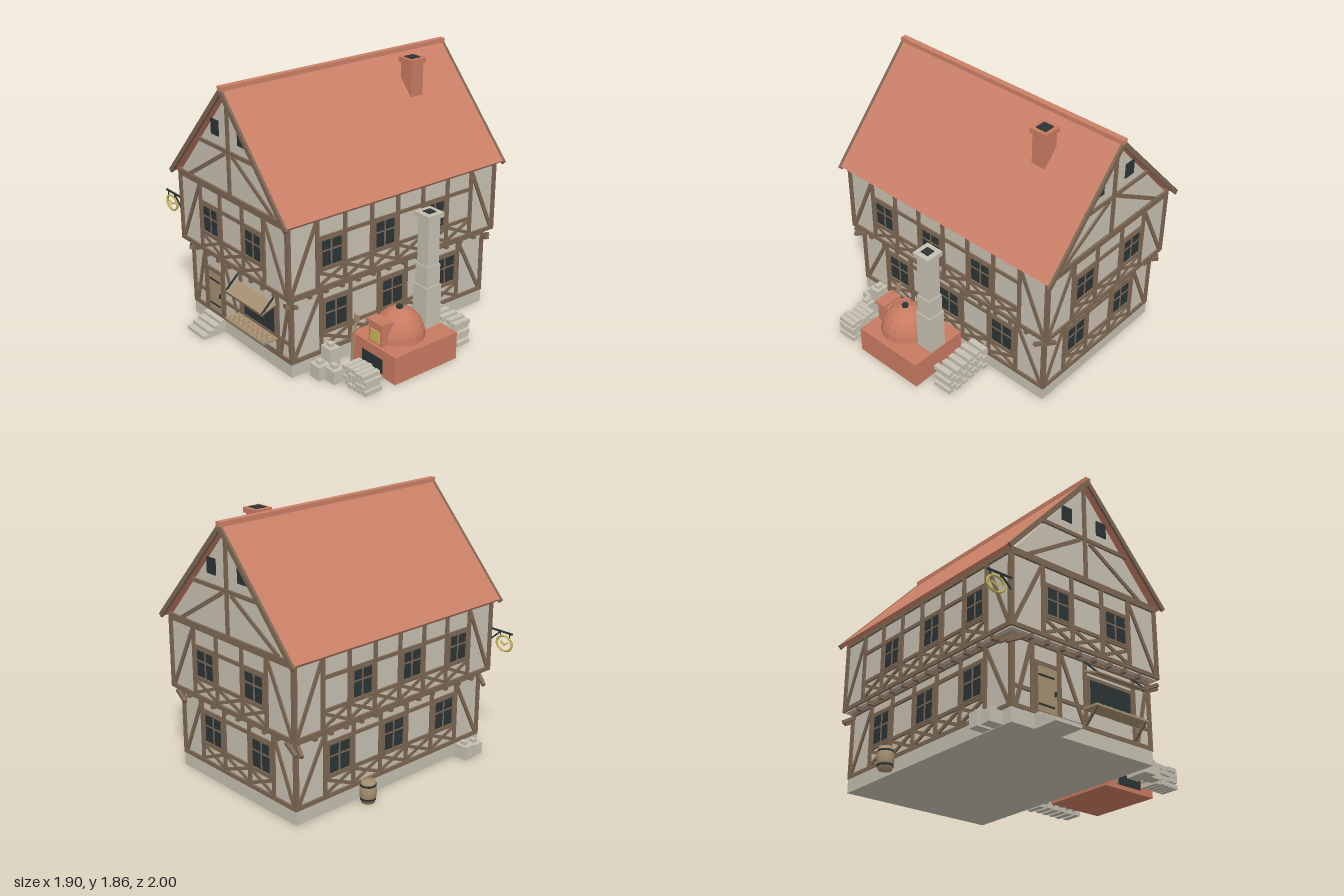
import * as THREE from 'three';

const mat = (name, color) => Object.assign(new THREE.MeshStandardMaterial({ color }), { name });

export function createModel() {
  const plaster = mat('plaster', 0xc8c0b2), stone = mat('stone', 0xc5c0b1), timber = mat('timber', 0x7c6753);
  const tile = mat('roofTile', 0xcb8067), brick = mat('brick', 0xc87a61), dark = mat('darkIron', 0x2b3435);
  const gold = mat('gold', 0xc9b85a), wood = mat('paleWood', 0xa58f70);
  const root = new THREE.Group();
  root.name = 'bakeryHouse';
  const CX = -0.127, CZ = -0.044;

  const add = (parent, name, geo, m, x = 0, y = 0, z = 0) => {
    const mesh = new THREE.Mesh(geo, m);
    mesh.name = name;
    mesh.position.set(x, y, z);
    parent.add(mesh);
    return mesh;
  };
  // box given by its extents on each axis
  const box = (p, name, m, x0, x1, y0, y1, z0, z1) =>
    add(p, name, new THREE.BoxGeometry(x1 - x0, y1 - y0, z1 - z0), m, (x0 + x1) / 2, (y0 + y1) / 2, (z0 + z1) / 2);
  const group = (name, parent = root) => {
    const g = new THREE.Group();
    g.name = name;
    parent.add(g);
    return g;
  };
  // straight bar lying in a wall plane (x, y), centred on z
  const beam = (p, x0, y0, x1, y1, w = 0.026, d = 0.03, z = 0, m = timber, name = 'beam') => {
    const b = add(p, name, new THREE.BoxGeometry(Math.hypot(x1 - x0, y1 - y0), w, d), m, (x0 + x1) / 2, (y0 + y1) / 2, z);
    b.rotation.z = Math.atan2(y1 - y0, x1 - x0);
    return b;
  };
  // straight bar between any two points
  const bar = (p, name, a, b, t, m) => {
    const A = new THREE.Vector3(...a), B = new THREE.Vector3(...b);
    const s = add(p, name, new THREE.BoxGeometry(t, t, A.distanceTo(B)), m);
    s.position.copy(A).add(B).multiplyScalar(0.5);
    s.lookAt(B);
    return s;
  };

  const house = group('house');
  house.position.set(CX, 0, CZ);

  // --- solid masses
  box(house, 'plinth', stone, -0.588, 0.588, 0, 0.1, -0.862, 0.862);
  box(house, 'groundFloor', plaster, -0.577, 0.577, 0.1, 0.59, -0.852, 0.852);
  box(house, 'upperFloor', plaster, -0.622, 0.622, 0.582, 1.11, -0.9, 0.9);
  const extrude = (name, pts, depth, z, m) => {
    const s = new THREE.Shape(pts.map(q => new THREE.Vector2(...q)));
    return add(house, name, new THREE.ExtrudeGeometry(s, { depth, bevelEnabled: false }), m, 0, 0, z);
  };
  extrude('gable', [[-0.62, 1.1], [0.62, 1.1], [0, 1.8]], 1.8, -0.9, plaster);
  const chevron = (w, top, t) => [[0, top], [-w, top - w * 1.096], [-w + t * 0.7, top - w * 1.096 - t * 0.65],
    [0, top - t * 1.5], [w - t * 0.7, top - w * 1.096 - t * 0.65], [w, top - w * 1.096]];
  extrude('roof', chevron(0.672, 1.852, 0.028), 1.88, -0.94, tile);
  for (const z of [-0.957, 0.939]) extrude('bargeBoard', chevron(0.684, 1.857, 0.034), 0.018, z, timber);
  box(house, 'ridgeCap', tile, -0.021, 0.021, 1.832, 1.864, -0.957, 0.957);

  // --- timber framing
  const windowAt = (p, x, y, w, h) => {
    const g = group('window', p);
    g.position.set(x, y, 0);
    box(g, 'glass', dark, -w / 2, w / 2, -h / 2, h / 2, 0, 0.006);
    for (const s of [-1, 1]) {
      beam(g, s * w / 2, -h / 2, s * w / 2, h / 2, 0.014, 0.034);
      beam(g, -w / 2, s * h / 2, w / 2, s * h / 2, 0.014, 0.034);
    }
    beam(g, 0, -h / 2, 0, h / 2, 0.011, 0.02);
    beam(g, -w / 2, h * 0.08, w / 2, h * 0.08, 0.011, 0.019);
  };
  const wall = (name, angle, dist) => {
    const g = group(name, house);
    g.rotation.y = angle;
    g.position.set(Math.sin(angle) * dist, 0, Math.cos(angle) * dist);
    return g;
  };
  const outline = (g, half, y0, y1) => {
    for (const s of [-1, 1]) beam(g, s * (half - 0.013), y0, s * (half - 0.013), y1, 0.03, 0.026);
    beam(g, -half, y0 + 0.014, half, y0 + 0.014, 0.028, 0.03);
    beam(g, -half, y1 - 0.015, half, y1 - 0.015, 0.03, 0.03);
  };
  // storey with corner braces, a window band and crossed braces below
  const storey = (g, half, posts, wins, y0, y1, sill, lintel, winW) => {
    outline(g, half, y0, y1);
    const a = posts[0], b = posts[posts.length - 1];
    for (const x of posts) beam(g, x, y0, x, y1, 0.026, 0.028);
    for (const y of [sill, lintel]) beam(g, a, y, b, y, 0.024, 0.026);
    for (const s of [-1, 1]) beam(g, s * (half - 0.03), y0 + 0.03, s * (b + 0.008), y1 - 0.04, 0.026, 0.022);
    posts.slice(1).forEach((x1, i) => {
      const x0 = posts[i], lo = y0 + 0.03, hi = sill - 0.012;
      beam(g, x0, lo, x1, hi, 0.022, 0.022);
      beam(g, x0, hi, x1, lo, 0.022, 0.02);
      if (wins.includes(i)) windowAt(g, (x0 + x1) / 2, (sill + lintel) / 2, winW, lintel - sill - 0.022);
    });
  };
  const joists = (g, half) => {
    const n = Math.round(half * 2 / 0.13);
    for (let i = 1; i < n; i++) {
      const x = -half + i * 2 * half / n;
      box(g, 'joistEnd', timber, x - 0.013, x + 0.013, 0.556, 0.584, 0, 0.055);
    }
  };
  const spaced = (half, n) => Array.from({ length: n + 1 }, (_, i) => -half + 2 * half * i / n);
  const endPosts = [-0.37, -0.13, 0.13, 0.37];
  const upper = [0.59, 1.115, 0.735, 0.957], lower = [0.097, 0.58, 0.245, 0.482];

  for (const [name, angle, front] of [['frontWall', 0, true], ['backWall', Math.PI, false]]) {
    const up = wall(name + 'Upper', angle, 0.9);
    storey(up, 0.635, endPosts, [0, 2], ...upper, 0.195);
    // gable framing
    beam(up, -0.63, 1.1, 0.63, 1.1, 0.045, 0.034);
    beam(up, 0, 1.1, 0, 1.8, 0.026, 0.03);
    beam(up, -0.375, 1.413, 0.375, 1.413, 0.026, 0.027);
    for (const s of [-1, 1]) {
      beam(up, s * 0.49, 1.12, s * 0.04, 1.395, 0.026, 0.022);
      box(up, 'atticWindow', dark, s * 0.153 - 0.043, s * 0.153 + 0.043, 1.49, 1.597, 0, 0.008);
    }
    const low = wall(name + 'Lower', angle, 0.852);
    joists(low, 0.59);
    if (!front) { storey(low, 0.59, endPosts, [0, 2], ...lower, 0.195); continue; }
    // shop front: posts, rails, braces
    outline(low, 0.59, 0.097, 0.58);
    for (const x of [-0.422, -0.205, 0.012, 0.437]) beam(low, x, 0.1, x, 0.575, 0.026, 0.028);
    for (const [a, b] of [[-0.58, -0.42], [-0.2, 0.437], [0.437, 0.58]]) beam(low, a, 0.24, b, 0.24, 0.024, 0.026);
    for (const [a, b] of [[-0.55, -0.43], [0, -0.19], [0.46, 0.565]]) beam(low, a, 0.12, b, 0.55, 0.026, 0.022);
    beam(low, -0.422, 0.435, -0.205, 0.435, 0.026, 0.027);
    // door with strap hinges and handle
    box(low, 'door', wood, -0.385, -0.218, 0.1, 0.422, 0, 0.01);
    for (const x of [-0.392, -0.218]) beam(low, x, 0.1, x, 0.425, 0.018, 0.032);
    for (const y of [0.17, 0.36]) box(low, 'hinge', dark, -0.375, -0.25, y - 0.006, y + 0.006, 0.01, 0.014);
    box(low, 'handle', dark, -0.25, -0.238, 0.245, 0.275, 0.01, 0.02);
    box(low, 'shopOpening', dark, 0.045, 0.412, 0.245, 0.445, 0, 0.008);
    beam(low, 0.012, 0.452, 0.437, 0.452, 0.022, 0.03);
    for (const x of [0.04, 0.415]) beam(low, x, 0.24, x, 0.45, 0.014, 0.03);
  }
  for (const [name, s] of [['leftWall', 1], ['rightWall', -1]]) {
    const up = wall(name + 'Upper', s * Math.PI / 2, 0.622);
    storey(up, 0.913, spaced(0.674, 6), s > 0 ? [0, 2, 4] : [1, 3, 5], ...upper, 0.178);
    const low = wall(name + 'Lower', s * Math.PI / 2, 0.577);
    storey(low, 0.865, spaced(0.614, 5), [0, 2, 4], ...lower, 0.195);
    joists(low, 0.865);
  }
  // jetty brackets at the corners
  for (const sx of [-1, 1]) for (const sz of [-1, 1]) {
    bar(house, 'bracket', [sx * 0.585, 0.47, sz * 0.85], [sx * 0.625, 0.585, sz * 0.85], 0.024, timber);
    bar(house, 'bracket', [sx * 0.57, 0.47, sz * 0.86], [sx * 0.57, 0.585, sz * 0.905], 0.024, timber);
  }

  // --- entrance steps
  for (let i = 0; i < 4; i++)
    box(root, 'step', stone, -0.535, -0.325, 0, 0.0245 * (i + 1), 0.8, 1 - i * 0.046);

  // --- awning and sales counter
  const shop = group('shopCounter');
  const awning = box(shop, 'awning', wood, -0.13, 0.31, -0.005, 0.005, -0.06, 0.06);
  awning.position.set(0.09, 0.462, 0.88);
  awning.rotation.x = 0.36;
  box(shop, 'awningEdge', timber, -0.135, 0.315, 0.432, 0.446, 0.928, 0.94);
  box(shop, 'shelf', wood, -0.14, 0.315, 0.222, 0.236, 0.82, 0.935);
  for (const x of [-0.12, 0.3]) {
    bar(shop, 'awningStay', [x, 0.55, 0.82], [x, 0.442, 0.934], 0.01, dark);
    bar(shop, 'shelfStrut', [x, 0.13, 0.82], [x, 0.225, 0.92], 0.016, timber);
  }
  for (let i = 0; i < 8; i++) for (const z of [0.86, 0.905])
    add(shop, 'loaf', new THREE.SphereGeometry(0.022, 8, 6), wood, -0.1 + i * 0.054, 0.237, z).scale.y = 0.65;

  // --- hanging sign
  const sign = group('hangingSign');
  bar(sign, 'signArm', [-0.945, 0.9, 0.868], [-0.75, 0.9, 0.868], 0.011, dark);
  bar(sign, 'signBrace', [-0.84, 0.898, 0.868], [-0.755, 0.82, 0.868], 0.009, dark);
  for (const x of [-0.92, -0.84]) bar(sign, 'signHanger', [x, 0.9, 0.868], [x, 0.865, 0.868], 0.006, dark);
  add(sign, 'pretzelRing', new THREE.TorusGeometry(0.066, 0.009, 6, 20), gold, -0.877, 0.818, 0.868).scale.y = 0.82;
  for (const s of [-1, 1])
    bar(sign, 'pretzelArm', [-0.877, 0.808, 0.868], [-0.877 + s * 0.032, 0.829, 0.868], 0.01, gold);

  // --- chimneys
  const chimney = (name, m, x, z, w, capW, y0, y1, hole) => {
    const g = group(name);
    g.position.set(x, 0, z);
    box(g, 'shaft', m, -w, w, y0, y1 - 0.02, -w, w);
    box(g, 'cap', m, -capW, capW, y1 - 0.035, y1, -capW, capW);
    box(g, 'flue', dark, -hole, hole, y1, y1 + 0.005, -hole, hole);
    return g;
  };
  chimney('roofChimney', brick, 0.07, -0.532, 0.054, 0.067, 1.5, 1.843, 0.04);
  const stack = chimney('ovenChimney', stone, 0.722, -0.122, 0.051, 0.068, 0.2, 1.02, 0.032);
  box(stack, 'lowerShaft', stone, -0.066, 0.066, 0.2, 0.5, -0.066, 0.066);
  box(stack, 'middleShaft', stone, -0.058, 0.058, 0.5, 0.65, -0.058, 0.058);

  // --- bread oven
  const oven = group('breadOven');
  box(oven, 'ovenBase', brick, 0.5, 0.948, 0, 0.2, -0.193, 0.352);
  const domeMat = brick.clone();
  domeMat.name = 'domeBrick';
  domeMat.flatShading = true;
  add(oven, 'dome', new THREE.SphereGeometry(0.178, 16, 6, 0, Math.PI * 2, 0, Math.PI / 2), domeMat, 0.722, 0.2, 0.122).scale.y = 1.14;
  add(oven, 'domeVent', new THREE.CylinderGeometry(0.024, 0.024, 0.02, 10), dark, 0.722, 0.404, 0.122);
  box(oven, 'mouth', brick, 0.656, 0.788, 0.2, 0.35, 0.16, 0.33);
  box(oven, 'mouthLintel', brick, 0.642, 0.802, 0.345, 0.365, 0.25, 0.342);
  box(oven, 'fireGlow', gold, 0.678, 0.768, 0.215, 0.302, 0.33, 0.336);
  box(oven, 'woodStore', dark, 0.62, 0.825, 0.03, 0.13, 0.352, 0.358);
  // baker's peel leaning on the oven
  bar(oven, 'peelHandle', [0.56, 0.01, 0.4], [0.56, 0.3, 0.36], 0.012, wood);
  box(oven, 'peelBlade', wood, 0.538, 0.582, 0.3, 0.355, 0.35, 0.36);

  // --- firewood stacks
  const logs = (name, x0, z, n, step, rows, rise, w) => {
    const g = group(name);
    for (let r = 0; r < rows; r++) for (let i = 0; i < n; i++) {
      const x = x0 + i * step + (r % 2 ? -step * 0.3 : 0), dz = ((i * 3 + r * 2) % 4) * 0.004;
      box(g, 'log', stone, x - w, x + w, r * rise, r * rise + 0.031, z - 0.073 + dz, z + 0.067 + dz);
    }
  };
  logs('frontFirewood', 0.748, 0.524, 5, 0.043, 4, 0.037, 0.018);
  logs('rearFirewood', 0.5, -0.35, 6, 0.066, 5, 0.038, 0.021);

  // --- flour sacks
  const sack = (x, z, w, d, h, y = 0) => {
    const g = group('flourSack');
    box(g, 'sackBody', stone, x - w, x + w, y, y + h, z - d, z + d);
    box(g, 'sackNeck', stone, x - w * 0.45, x + w * 0.45, y + h, y + h + 0.025, z - d * 0.45, z + d * 0.45);
  };
  sack(0.555, 0.66, 0.05, 0.045, 0.1);
  sack(0.65, 0.615, 0.052, 0.042, 0.095);
  sack(0.56, 0.575, 0.05, 0.04, 0.2);
  sack(-0.775, 0.607, 0.052, 0.037, 0.1);
  sack(-0.77, 0.71, 0.05, 0.04, 0.085);

  // --- barrel
  const barrel = group('barrel');
  barrel.position.set(-0.787, 0, -0.35);
  const profile = [[0, 0], [0.046, 0], [0.057, 0.05], [0.059, 0.078], [0.057, 0.106], [0.046, 0.156], [0, 0.156]];
  add(barrel, 'staves', new THREE.LatheGeometry(profile.map(q => new THREE.Vector2(...q)), 12), wood);
  for (const [y, r] of [[0.03, 0.055], [0.126, 0.055]])
    add(barrel, 'hoop', new THREE.CylinderGeometry(r, r, 0.014, 12), dark, 0, y, 0);

  return root;
}
